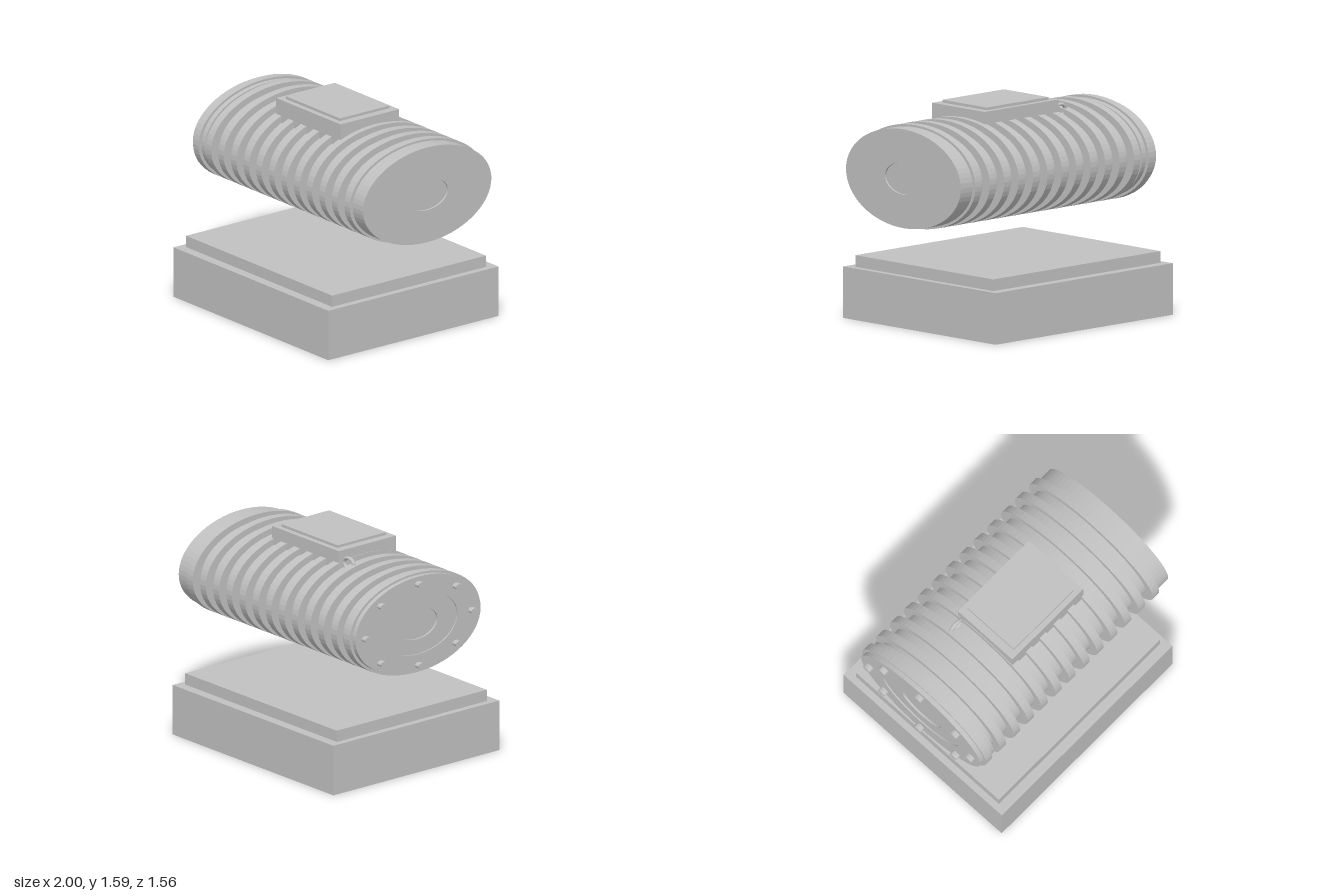
import * as THREE from 'three';

const AXIS_Y = 1.13;   // height of the motor axis
const SQUASH = 0.612;  // oval cross-section: height / depth

export function createModel() {
  const model = new THREE.Group();
  model.name = 'motorOnPlinth';
  const grey = new THREE.MeshStandardMaterial({ color: 0xc0c0c0, flatShading: true });
  grey.name = 'light grey';

  const add = (name, geometry, parent = model) => {
    const mesh = new THREE.Mesh(geometry, grey);
    mesh.name = name;
    parent.add(mesh);
    return mesh;
  };

  // Box given by its limits on each axis
  const box = (name, [x0, x1], [y0, y1], [z0, z1]) =>
    add(name, new THREE.BoxGeometry(x1 - x0, y1 - y0, z1 - z0))
      .position.set((x0 + x1) / 2, (y0 + y1) / 2, (z0 + z1) / 2);

  // Oval solid along x; the profile is a list of [radius, x] with x rising
  const oval = (name, profile, parent = motor) => {
    const g = new THREE.LatheGeometry(profile.map(([r, x]) => new THREE.Vector2(r, x)), 64);
    g.rotateZ(-Math.PI / 2);
    g.scale(1, SQUASH, 1);
    return add(name, g, parent);
  };

  // Stepped plinth
  box('plinth', [-0.94, 0.84], [0, 0.375], [-0.78, 0.78]);
  box('plinthStep', [-0.89, 0.79], [0.375, 0.46], [-0.705, 0.705]);

  const motor = new THREE.Group();
  motor.name = 'motor';
  motor.position.y = AXIS_Y;
  model.add(motor);

  // Barrel and the two end covers with their recesses
  oval('barrel', [[0.54, -0.83], [0.54, 0.89]]);
  oval('boltedCover', [[0, -0.935], [0.19, -0.935], [0.19, -0.95], [0.37, -0.95],
    [0.37, -0.96], [0.588, -0.96], [0.588, -0.82], [0.53, -0.82]]);
  oval('plainCover', [[0.53, 0.88], [0.588, 0.88], [0.588, 1], [0.19, 1],
    [0.19, 0.985], [0, 0.985]]);

  // Cooling fins
  for (let i = 0; i < 13; i++) {
    const x = -0.893 + i * 0.145;
    oval('fin', [[0.53, x - 0.032], [0.613, x - 0.032], [0.613, x + 0.032], [0.53, x + 0.032]]);
  }

  // Cover bolts
  for (let i = 0; i < 8; i++) {
    const a = i * Math.PI / 4;
    const bolt = new THREE.CylinderGeometry(0.033, 0.033, 0.05, 16);
    bolt.rotateZ(Math.PI / 2);
    bolt.scale(1, SQUASH, 1);
    add('bolt', bolt, motor).position.set(-0.975, Math.sin(a) * 0.5 * SQUASH, Math.cos(a) * 0.5);
  }

  // Terminal box and lid
  box('terminalBox', [-0.34, 0.4], [1.395, 1.57], [-0.22, 0.317]);
  box('terminalLid', [-0.28, 0.34], [1.57, 1.59], [-0.18, 0.275]);

  // Lifting eye
  const eye = new THREE.TorusGeometry(0.054, 0.015, 10, 24);
  eye.scale(1, 0.75, 1);
  add('liftingEye', eye).position.set(-0.4, 1.483, -0.175);

  return model;
}
